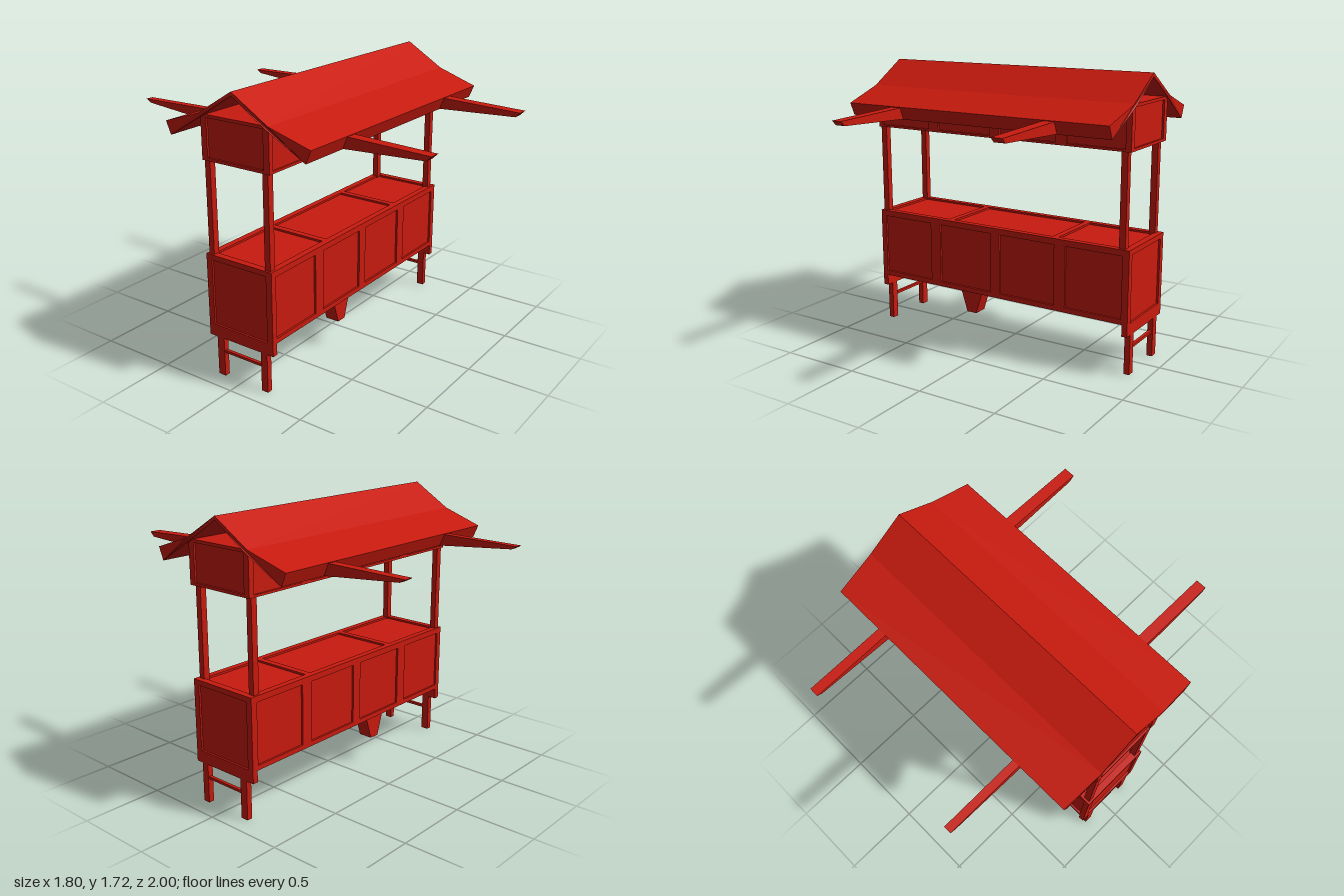
import * as THREE from 'three';

const red = new THREE.MeshStandardMaterial({ color: 0xc81a0e, flatShading: true });
const INSET = 0.012;
const PANELS = [[-0.855, -0.49], [-0.415, -0.035], [0.03, 0.41], [0.485, 0.85]];

function add(parent, name, geometry) {
  const mesh = new THREE.Mesh(geometry, red);
  mesh.name = name;
  parent.add(mesh);
  return mesh;
}

// Box given by its limits on each axis
function box(parent, name, [x0, x1], [y0, y1], [z0, z1]) {
  const mesh = add(parent, name, new THREE.BoxGeometry(x1 - x0, y1 - y0, z1 - z0));
  mesh.position.set((x0 + x1) / 2, (y0 + y1) / 2, (z0 + z1) / 2);
  return mesh;
}

function rect(Type, [a0, a1], [b0, b1]) {
  return new Type([[a0, b0], [a1, b0], [a1, b1], [a0, b1]].map(p => new THREE.Vector2(...p)));
}

// Flat frame with rectangular openings, facing +z
function frame(across, up, openings, openUp) {
  const shape = rect(THREE.Shape, across, up);
  for (const o of openings) shape.holes.push(rect(THREE.Path, o, openUp));
  return new THREE.ExtrudeGeometry(shape, { depth: INSET, bevelEnabled: false });
}

// Profile of [z, y] points swept along x, centred on x = 0
function sweepX(points, width) {
  const shape = new THREE.Shape(points.map(([z, y]) => new THREE.Vector2(-z, y)));
  const g = new THREE.ExtrudeGeometry(shape, { depth: width, bevelEnabled: false });
  return g.translate(0, 0, -width / 2).rotateY(Math.PI / 2);
}

// Box with recessed panels on its four sides
function panelledBox(parent, name, y, endY, panelY, endPanelY, hx, hz) {
  const group = new THREE.Group();
  group.name = name;
  parent.add(group);
  box(group, name + 'Core', [-hx + INSET, hx - INSET], y, [-hz + INSET, hz - INSET]);
  add(group, 'frontFrame', frame([-hx, hx], y, PANELS, panelY)).position.z = hz - INSET;
  add(group, 'backFrame', frame([-hx, hx], y, PANELS, panelY)).position.z = -hz;
  for (const side of [-1, 1]) {
    const end = add(group, 'endFrame', frame([-hz, hz], endY, [[-0.195, 0.195]], endPanelY));
    end.rotation.y = side * Math.PI / 2;
    end.position.x = side * (hx - INSET);
  }
  return group;
}

export function createModel() {
  const model = new THREE.Group();
  model.name = 'marketStall';

  // Counter with panelled sides and a three-part top
  const counter = panelledBox(model, 'counter', [0.315, 0.745], [0.245, 0.757], [0.345, 0.72], [0.316, 0.725], 0.892, 0.235);
  const top = add(counter, 'counterTopFrame', new THREE.ExtrudeGeometry((() => {
    const s = rect(THREE.Shape, [-0.892, 0.892], [-0.235, 0.235]);
    for (const o of [[-0.85, -0.37], [-0.33, 0.38], [0.42, 0.85]]) s.holes.push(rect(THREE.Path, o, [-0.195, 0.195]));
    return s;
  })(), { depth: 0.024, bevelEnabled: false }));
  top.rotation.x = -Math.PI / 2;
  top.position.y = 0.733;

  // Trestle ends: apron, legs and crossbar
  for (const side of [-1, 1]) {
    const x = side < 0 ? [-0.892, -0.857] : [0.857, 0.892];
    box(model, 'apron', x, [0.245, 0.32], [-0.235, 0.235]);
    box(model, 'frontLeg', x, [0, 0.25], [0.145, 0.19]);
    box(model, 'backLeg', x, [0, 0.25], [-0.18, -0.13]);
    box(model, 'crossbar', side < 0 ? [-0.885, -0.865] : [0.865, 0.885], [0.15, 0.166], [-0.14, 0.15]);
  }

  // Tapered brackets hanging under the counter
  for (const [name, z] of [['frontBracket', 0.167], ['backBracket', -0.18]]) {
    const g = new THREE.BoxGeometry(0.16, 0.145, 0.09);
    const p = g.attributes.position;
    for (let i = 0; i < p.count; i++) if (p.getY(i) < 0) p.setX(i, p.getX(i) * 0.42);
    add(model, name, g).position.set(-0.195, 0.2475, z);
  }

  // Posts between counter and canopy
  for (const x of [[-0.88, -0.84], [0.82, 0.86]]) {
    box(model, 'frontPost', x, [0.735, 1.33], [0.182, 0.22]);
    box(model, 'backPost', x, [0.735, 1.33], [-0.222, -0.185]);
  }

  // Panelled canopy box under the roof
  panelledBox(model, 'canopy', [1.308, 1.568], [1.308, 1.568], [1.322, 1.55], [1.325, 1.55], 0.885, 0.235);

  // Swept roof: steep at the ridge, flatter at the eaves, open gables
  const half = [[0.24, 1.572], [0.5, 1.487], [0.467, 1.41], [0.225, 1.552]];
  const profile = [[0, 1.72], ...half, [0, 1.697], ...half.map(([z, y]) => [-z, y]).reverse()];
  const roof = sweepX(profile, 1.796);
  const pos = roof.attributes.position;
  for (let i = 0; i < pos.count; i++) {
    if (Math.abs(pos.getZ(i)) > 0.4) pos.setX(i, pos.getX(i) * 0.982);
  }
  roof.computeVertexNormals();
  add(model, 'roof', roof);

  // Tapering poles reaching out from the eaves
  const front = [[0.46, 1.412], [0.97, 1.435], [1, 1.464], [0.49, 1.483]];
  const back = [[-0.46, 1.41], [-0.965, 1.455], [-1, 1.475], [-0.49, 1.483]];
  for (const [name, points, x, width] of [
    ['frontPole', front, -0.527, 0.066], ['frontPole', front, 0.52, 0.07],
    ['backPole', back, -0.528, 0.048], ['backPole', back, 0.532, 0.058],
  ]) add(model, name, sweepX(points, width)).position.x = x;

  return model;
}
